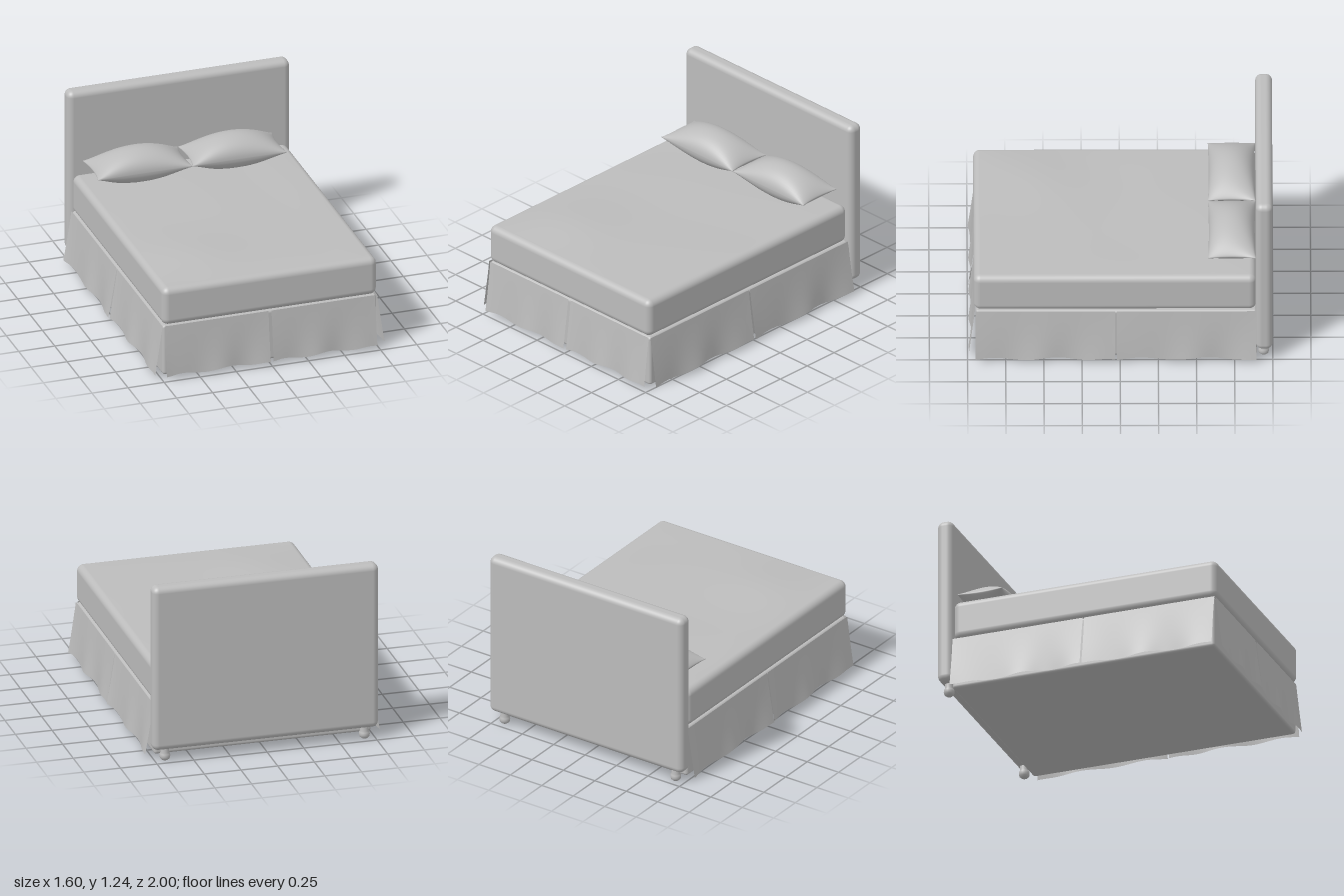
import * as THREE from 'three';
import { mergeVertices } from 'three/addons/utils/BufferGeometryUtils.js';
import { RoundedBoxGeometry } from 'three/addons/geometries/RoundedBoxGeometry.js';

const fabric = new THREE.MeshStandardMaterial({ color: 0xbcbcbc, side: THREE.DoubleSide });
fabric.name = 'greyFabric';

function add(parent, name, geometry, x = 0, y = 0, z = 0) {
  const mesh = new THREE.Mesh(geometry, fabric);
  mesh.name = name;
  mesh.position.set(x, y, z);
  parent.add(mesh);
  return mesh;
}

// Move every vertex by a rule, then smooth the normals
function deform(geometry, rule) {
  const p = geometry.attributes.position;
  const v = new THREE.Vector3();
  for (let i = 0; i < p.count; i++) {
    rule(v.fromBufferAttribute(p, i));
    p.setXYZ(i, v.x, v.y, v.z);
  }
  geometry.computeVertexNormals();
  return geometry;
}

// Closed cushion: plump centre, thin seam, pointed corners, flattened underside
function pillowGeometry(halfX, halfZ) {
  const geo = new THREE.BoxGeometry(2, 2, 2, 32, 1, 24);
  geo.deleteAttribute('uv');
  geo.deleteAttribute('normal');
  return deform(mergeVertices(geo), (v) => {
    const side = Math.sign(v.y);
    const u = Math.sin(v.x * Math.PI / 2), w = Math.sin(v.z * Math.PI / 2);
    const a = Math.max(0, 1 - u * u), b = Math.max(0, 1 - w * w);
    const puff = Math.pow(a, 0.75) * Math.pow(b, 0.5);
    const height = side > 0 ? 0.122 * puff : 0.08 * Math.min(1, 1.4 * puff);
    v.set(halfX * u * (1 - 0.05 * b), side * (height + 0.002), halfZ * w * (1 - 0.03 * a));
  });
}

// Hanging cloth panel that flares and ripples towards the hem
function skirtGeometry(width, flare, phase) {
  const h = 0.35;
  return deform(new THREE.PlaneGeometry(width, h, 48, 10), (v) => {
    const t = 0.5 - v.y / h;
    const s = v.x / (width / 2);
    const ripple = Math.cos(s * Math.PI * 2 + phase) + 0.4 * Math.sin(s * 9 + phase * 2);
    const edge = Math.pow(Math.abs(s), 6);
    v.z = 0.003 + flare * t * (0.75 + 0.17 * ripple * t + 0.18 * edge);
    v.y += 0.008 * t * t * Math.sin(s * 7 + phase) * (1 - edge);
    v.x *= 1 - 0.015 * t * (1 - t);
  });
}

export function createModel() {
  const bed = new THREE.Group();
  bed.name = 'bed';

  // Headboard and its rounded feet
  add(bed, 'headboard', new RoundedBoxGeometry(1.54, 1.155, 0.11, 5, 0.042), 0.004, 0.662, -0.943);
  const footProfile = [[0, 0], [0.02, 0.003], [0.032, 0.014], [0.036, 0.03], [0.034, 0.046], [0.028, 0.056], [0.028, 0.1]]
    .map(([x, y]) => new THREE.Vector2(x, y));
  for (const side of [-1, 1]) {
    add(bed, 'foot', new THREE.LatheGeometry(footProfile, 24), side * 0.68, 0, -0.94);
  }

  // Base and mattress
  add(bed, 'base', new RoundedBoxGeometry(1.48, 0.358, 1.845, 4, 0.02), 0, 0.204, 0.025);
  add(bed, 'mattress', new RoundedBoxGeometry(1.485, 0.268, 1.85, 5, 0.045), 0, 0.518, 0.035);

  // Softly lumpy cover over the mattress top
  const cover = new THREE.PlaneGeometry(1.4, 1.76, 32, 40).rotateX(-Math.PI / 2);
  deform(cover, (v) => {
    const fade = (1 - Math.pow(Math.abs(v.x) / 0.7, 8)) * (1 - Math.pow(Math.abs(v.z) / 0.88, 10));
    const lump = Math.exp(-(((v.x + 0.35) / 0.3) ** 2) - (((v.z - 0.5) / 0.3) ** 2));
    const ripple = Math.sin(v.x * 5 + v.z * 3) * Math.sin(v.z * 4 - v.x * 2);
    v.y = 0.0005 + fade * (0.02 * lump + 0.004 + 0.002 * ripple);
  });
  add(bed, 'mattressCover', cover, 0, 0.652, 0.035);

  // Skirt: two panels along each side and two across the foot end
  for (const side of [-1, 1]) {
    for (const [z, phase] of [[-0.435, 0.3], [0.49, 1.2]]) {
      const panel = add(bed, 'sideSkirt', skirtGeometry(0.915, 0.054, phase), side * 0.74, 0.206, z);
      panel.rotation.y = side * Math.PI / 2;
    }
    add(bed, 'frontSkirt', skirtGeometry(0.72, 0.044, 0.8 + side * 0.5), side * 0.37, 0.206, 0.948);
  }

  // Pair of pillows
  add(bed, 'rightPillow', pillowGeometry(0.328, 0.155), -0.338, 0.735, -0.732);
  add(bed, 'leftPillow', pillowGeometry(0.325, 0.155), 0.318, 0.735, -0.732);

  return bed;
}
